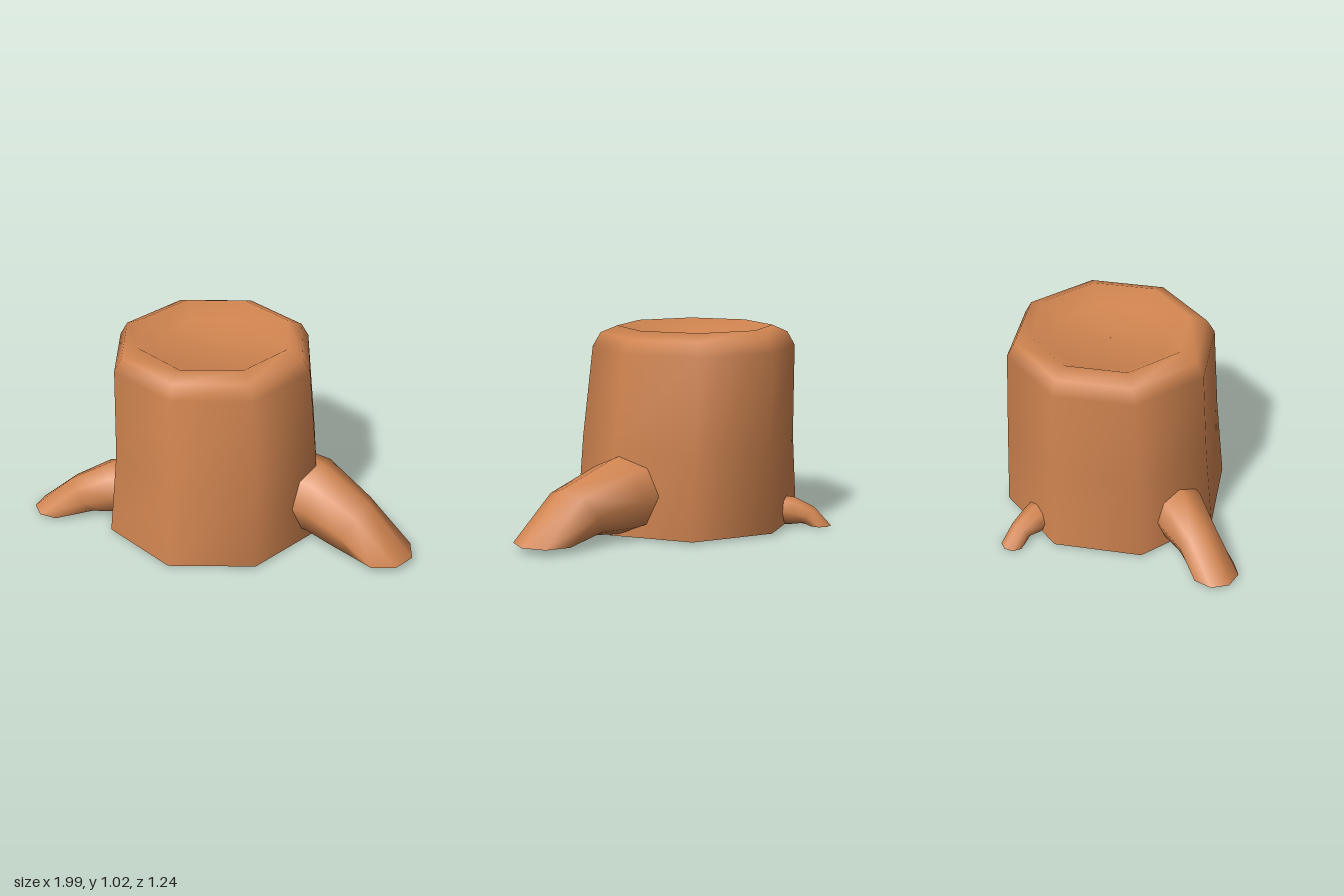
import * as THREE from 'three';

const SIDES = 8;

// Smooth open skin over rings; each ring is { c: centre, u, v: half axes }
function loft(rings) {
  const pos = [], index = [];
  for (const { c, u, v } of rings) {
    for (let j = 0; j < SIDES; j++) {
      const a = (j / SIDES) * Math.PI * 2;
      const p = c.clone().addScaledVector(u, Math.cos(a)).addScaledVector(v, Math.sin(a));
      pos.push(p.x, p.y, p.z);
    }
  }
  for (let i = 0; i < rings.length - 1; i++) {
    for (let j = 0; j < SIDES; j++) {
      const k = (j + 1) % SIDES;
      const a = i * SIDES + j, b = i * SIDES + k;
      const c = a + SIDES, d = b + SIDES;
      index.push(a, c, b, b, c, d);
    }
  }
  const geo = new THREE.BufferGeometry();
  geo.setAttribute('position', new THREE.Float32BufferAttribute(pos, 3));
  geo.setIndex(index);
  geo.computeVertexNormals();
  return geo;
}

// Root rings: [x, y, z, radius, forward tilt in degrees]; heading is [x, z]
function rootGeometry(heading, rings) {
  const h = new THREE.Vector3(heading[0], 0, heading[1]).normalize();
  const side = new THREE.Vector3(-h.z, 0, h.x);
  return loft(rings.map(([x, y, z, r, tilt]) => {
    const t = THREE.MathUtils.degToRad(tilt);
    const v = h.clone().multiplyScalar(Math.sin(t) * r);
    v.y = Math.cos(t) * r;
    return { c: new THREE.Vector3(x, y, z), u: side.clone().multiplyScalar(r), v };
  }));
}

export function createModel() {
  const group = new THREE.Group();
  const bark = new THREE.MeshStandardMaterial({ color: 0xd08450, side: THREE.DoubleSide });
  bark.name = 'bark';
  const add = (name, geo) => {
    const mesh = new THREE.Mesh(geo, bark);
    mesh.name = name;
    group.add(mesh);
    return mesh;
  };

  // Trunk: leaning octagon with a rounded rim and a shallow hollow on top
  const trunk = [
    // y, radius, centre x, centre z
    [0.012, 0.575, -0.115, 0.045],
    [0.45, 0.547, -0.105, 0.028],
    [0.92, 0.522, -0.13, 0.012],
    [0.99, 0.482, -0.13, 0.01],
    [1.025, 0.4, -0.13, 0.005],
    [0.96, 0.3, -0.13, 0.005],
    [0.955, 0.001, -0.13, 0.005],
  ];
  add('trunk', loft(trunk.map(([y, r, x, z]) => ({
    c: new THREE.Vector3(x, y, z),
    u: new THREE.Vector3(r, 0, 0),
    v: new THREE.Vector3(0, 0, r),
  }))));

  // Flat underside
  const base = add('trunkBase', new THREE.CircleGeometry(0.575, SIDES).rotateX(Math.PI / 2));
  base.position.set(-0.115, 0.012, 0.045);

  // Three roots, each bending down to an open end on the ground
  add('leftRoot', rootGeometry([1, 0], [
    [0.25, 0.24, 0, 0.2, 0],
    [0.45, 0.215, 0.005, 0.195, 5],
    [0.655, 0.155, 0.08, 0.16, 35],
    [0.835, 0.035, 0.1, 0.163, 90],
  ]));
  add('rightRoot', rootGeometry([-0.92, 0.38], [
    [-0.4, 0.175, 0.2, 0.14, 0],
    [-0.6, 0.16, 0.275, 0.14, 5],
    [-0.74, 0.105, 0.32, 0.11, 35],
    [-0.88, 0.015, 0.37, 0.12, 90],
  ]));
  add('backRoot', rootGeometry([-0.54, -0.84], [
    [-0.33, 0.08, -0.38, 0.078, 0],
    [-0.385, 0.075, -0.45, 0.072, 5],
    [-0.425, 0.055, -0.515, 0.055, 35],
    [-0.462, 0.003, -0.563, 0.06, 90],
  ]));

  return group;
}
